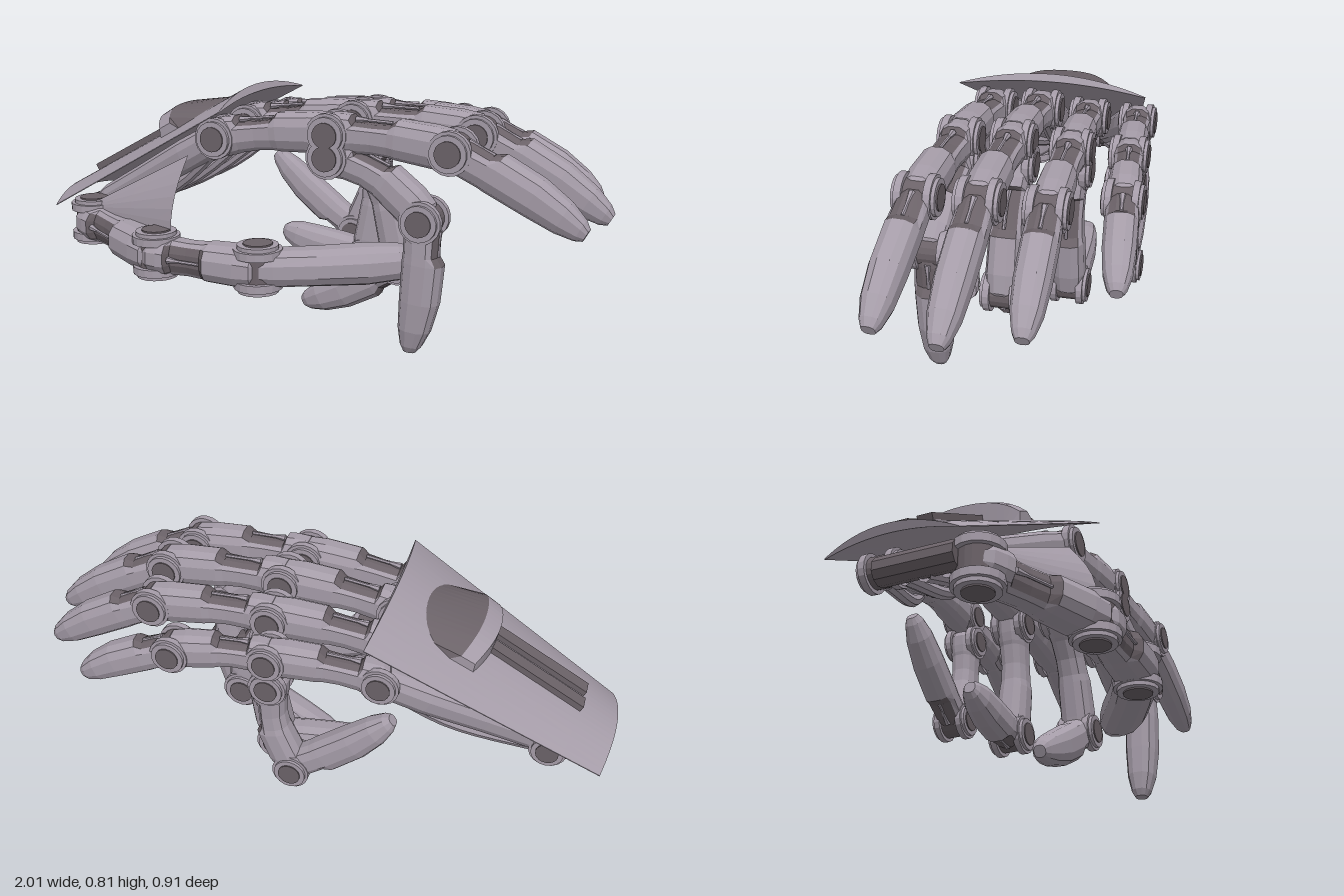
import * as THREE from 'three';

const light = new THREE.MeshStandardMaterial({ color: 0xa59ca8, flatShading: true, side: THREE.DoubleSide });
light.name = 'pale metal';
const dark = new THREE.MeshStandardMaterial({ color: 0x6b6268, flatShading: true, side: THREE.DoubleSide });
dark.name = 'dark metal';
const V = (x, y, z) => new THREE.Vector3(x, y, z);
const Z = V(0, 0, 1), DOWN = V(0, -1, 0), UP = V(0, 1, 0);

// sections: [position along, width, height, height factor of the outer side (below 1 = dark recess)]
const LINK = [[0, 0, 0, 1], [-.06, .8, .8, 1], [0, .95, 1.02, 1], [.1, 1, 1.04, 1], [.17, .95, 1, 1], [.2, .92, .95, .68],
  [.36, .88, .9, .66], [.5, .92, .94, .7], [.56, 1, 1, 1], [.85, 1.05, 1.05, 1], [1, .95, 1, 1], [1.05, .75, .7, 1], [1.05, 0, 0, 1]];
const TIP = [[0, 0, 0, 1], [-.03, .8, .8, .9], [.08, .95, .97, .85], [.25, 1, 1, .75], [.31, 1.02, 1.04, 1], [.6, 1, 1, 1],
  [.82, .86, .82, 1], [.95, .6, .55, 1], [1, .38, .32, 1], [1, 0, 0, 1]];
const THUMB_TIP = [[0, 0, 0, 1], [-.05, .75, .8, 1], [.08, .95, .97, 1], [.35, .95, 1, 1], [.65, 1, 1.05, 1],
  [.85, .9, .9, 1], [.96, .65, .6, 1], [1, .45, .4, 1], [1, 0, 0, 1]];
const BONE = [[0, 0, 0, 1], [0, .6, .6, 1], [.1, .75, .8, 1], [.4, .8, .85, 1], [.75, .95, .95, 1], [1, .85, .9, 1], [1, 0, 0, 1]];

function mesh(name, geometry, material) {
  const m = new THREE.Mesh(geometry, material);
  m.name = name;
  return m;
}

// geometry from triangle lists, pale faces first and dark faces second
function facesGeometry(pale, shaded) {
  const g = new THREE.BufferGeometry().setFromPoints([...pale, ...shaded]);
  g.addGroup(0, pale.length, 0);
  g.addGroup(pale.length, shaded.length, 1);
  g.computeVertexNormals();
  return g;
}

function rod(name, a, b, r, material, r2 = r, sides = 8) {
  const d = b.clone().sub(a);
  const m = mesh(name, new THREE.CylinderGeometry(r2, r, d.length(), sides), material);
  m.position.copy(a).lerp(b, .5);
  m.quaternion.setFromUnitVectors(UP, d.normalize());
  return m;
}

// faceted limb from a to b, bowed outward, with its recess on the outer side
function pod(name, a, b, axis, w, h, sections, bow = 0) {
  const N = 12, d = b.clone().sub(a), dir = d.clone().normalize();
  const side = axis.clone().addScaledVector(dir, -axis.dot(dir)).normalize();
  const up = side.clone().cross(dir);
  const spine = t => a.clone().addScaledVector(d, t).addScaledVector(up, bow * Math.sin(Math.PI * t));
  const point = ([t, sw, sh, top], j) => {
    const q = (j + .5) / N * Math.PI * 2, c = Math.cos(q), s = Math.sin(q);
    const cx = Math.sign(c) * Math.abs(c) ** .8, sy = Math.sign(s) * Math.abs(s) ** .8;
    return spine(t).addScaledVector(side, cx * w * sw).addScaledVector(up, sy * h * sh * (s > .4 ? top : 1));
  };
  const pale = [], shaded = [];
  for (let i = 0; i < sections.length - 1; i++) for (let j = 0; j < N; j++) {
    const s = sections[i], e = sections[i + 1];
    const recess = (s[3] < 1 || e[3] < 1) && j > 0 && j < N / 2 - 2;
    const A = point(s, j), B = point(e, j), C = point(e, j + 1), D = point(s, j + 1);
    (recess ? shaded : pale).push(A, B, C, A.clone(), C.clone(), D);
  }
  const g = new THREE.Group();
  g.name = name;
  g.add(mesh('shell', facesGeometry(pale, shaded), [light, dark]));
  const hollow = sections.filter(s => s[3] < 1);
  if (hollow.length) {
    // piston lying in the recess
    const at = t => spine(t).addScaledVector(up, h * .74);
    const t0 = Math.max(.06, hollow[0][0]), t1 = hollow[hollow.length - 1][0];
    g.add(rod('piston', at(t0), at(t1), .006, light, .006, 6), rod('pistonEnd', at(t0), at(t0 + .1), .012, light, .006, 6));
  }
  return g;
}

// hinge with a dark core, pale cheeks, stepped collars and dark caps
function hinge(p, axis, r, half) {
  const g = new THREE.Group();
  g.name = 'hinge';
  const disc = (name, from, to, radius, mat) =>
    g.add(rod(name, p.clone().addScaledVector(axis, from), p.clone().addScaledVector(axis, to), radius, mat, radius, 18));
  disc('core', -half, half, r * .8, dark);
  for (const s of [-1, 1]) {
    disc('cheek', s * half * .6, s * half, r, light);
    disc('collar', s * half * .6, s * half * 1.2, r * .85, light);
    disc('cap', s * half * .6, s * half * 1.28, r * .6, dark);
  }
  return g;
}

// hinges joined by links and finished by a tip
function digit(name, points, axis, s, bow, tip = TIP) {
  const g = new THREE.Group();
  g.name = name;
  const last = points.length - 1;
  for (let i = 0; i < last; i++) {
    const a = points[i], b = points[i + 1], isTip = i === last - 1;
    g.add(hinge(a, axis, .07 * s, .057 * s));
    g.add(pod(isTip ? 'tip' : 'link', a, b, axis, .057 * s, .066 * s, isTip ? tip : LINK, isTip ? .015 : bow));
  }
  return g;
}

// arched back plate: u runs from wrist to knuckles, v across
function platePoint(u, v, lift = 0) {
  const drop = .055 * v * v - lift;
  return V(-1 + .75 * u + .48 * drop, .4 + .412 * u - .877 * drop, -.025 + v * (.215 + .12 * u));
}

function backPlate() {
  const pale = [], N = 20, M = 6;
  const quad = (A, B, C, D) => pale.push(A, B, C, A.clone(), C.clone(), D);
  const low = (u, v) => platePoint(u, v, -.003 - .025 * (1 - v * v));
  for (let i = 0; i < N; i++) {
    const v = -1 + 2 * i / N, w = v + 2 / N;
    for (let k = 0; k < M; k++) {
      const u = k / M, t = (k + 1) / M;
      quad(platePoint(u, v), platePoint(u, w), platePoint(t, w), platePoint(t, v));
      quad(low(u, v), low(t, v), low(t, w), low(u, w));
    }
    quad(low(0, v), low(0, w), platePoint(0, w), platePoint(0, v));
    quad(low(1, v), platePoint(1, v), platePoint(1, w), low(1, w));
  }
  for (const v of [-1, 1]) {
    const s = [low(0, v), platePoint(0, v), platePoint(1, v), low(1, v)];
    quad(...(v > 0 ? s.reverse() : s));
  }
  return mesh('backPlate', facesGeometry(pale, []), [light, dark]);
}

// raised cowl: pale curved wall with a dark sloping top
function cowl() {
  const pale = [], shaded = [], N = 16;
  const row = i => {
    const s = -1 + 2 * i / N, v = s * .62 + .03, f = Math.sqrt(Math.max(0, 1 - s * s)), e = 1 - s ** 4;
    return [platePoint(.565 + .04 * s * s, v, -.004), platePoint(.59 + .03 * s * s, v, .03 + .032 * e),
      platePoint(.66 + .02 * s * s, v, .03 + .035 * e), platePoint(.71 + .17 * f, v, -.003)];
  };
  for (let i = 0; i < N; i++) {
    const a = row(i), b = row(i + 1);
    for (let k = 0; k < 3; k++)
      (k < 2 ? pale : shaded).push(a[k], b[k], b[k + 1], a[k].clone(), b[k + 1].clone(), a[k + 1]);
  }
  for (const [r, flip] of [[row(0), false], [row(N), true]]) {
    const q = flip ? r.reverse() : r;
    pale.push(q[0], q[1], q[2], q[0].clone(), q[2].clone(), q[3]);
  }
  return mesh('cowl', facesGeometry(pale, shaded), [light, dark]);
}

// curved web between plate edge and thumb
function thumbWeb() {
  const pale = [], N = 6;
  const at = (u, k) => {
    const y0 = .35, y1 = .37 + .23 * u, bulge = .03 * Math.sin(k * Math.PI) * u;
    return V(-.82 + .43 * u + .02 * k * u, y0 + (y1 - y0) * k, .19 + .17 * u - .1 * u * k + bulge);
  };
  for (let i = 0; i < N; i++) for (let j = 0; j < N; j++) {
    const A = at(i / N, j / N), B = at((i + 1) / N, j / N), C = at((i + 1) / N, (j + 1) / N), D = at(i / N, (j + 1) / N);
    pale.push(A, B, C, A.clone(), C.clone(), D);
  }
  return mesh('thumbWeb', facesGeometry(pale, []), [light, dark]);
}

export function createModel() {
  const hand = new THREE.Group();
  hand.name = 'mechanicalHand';
  hand.add(backPlate(), cowl(), thumbWeb());

  // twin bars on the plate
  for (const z of [-.055, .025]) {
    const bar = mesh('plateBar', new THREE.BoxGeometry(.37, .03, .05), dark);
    bar.position.set(-.717, .559, z);
    bar.rotation.z = Math.atan2(.412, .75);
    hand.add(bar);
  }

  // straight points, curled points, size and wrist root of each finger
  const fingers = [
    ['index', [V(-.28, .66, .19), V(.13, .705, .2), V(.54, .68, .215), V(.96, .46, .23)],
      [V(.13, .63, .2), V(.45, .45, .21), V(.41, .002, .21)], 1, V(-.84, .35, .08)],
    ['middle', [V(-.25, .68, .01), V(.15, .72, .015), V(.57, .7, .015), V(1, .46, .02)],
      [V(.15, .64, .01), V(.31, .24, .015), V(-.05, .05, .015)], 1, V(-.86, .34, .02)],
    ['ring', [V(-.26, .66, -.16), V(.13, .7, -.175), V(.54, .68, -.185), V(.93, .47, -.2)],
      [V(.13, .63, -.175), V(.12, .19, -.17), V(-.21, .25, -.17)], .97, V(-.85, .35, -.05)],
    ['little', [V(-.28, .65, -.33), V(.08, .675, -.355), V(.39, .66, -.385), V(.71, .52, -.42)],
      [V(.08, .57, -.345), V(.01, .23, -.34), V(-.32, .5, -.34)], .9, V(-.8, .38, -.14)],
  ];
  for (const [name, straight, curled, s, root] of fingers) {
    hand.add(digit(name + 'Finger', straight, Z, s, .01), digit(name + 'CurledFinger', curled, Z, s, .035));
    hand.add(pod(name + 'PalmBone', root, straight[0], Z, .062, .062, BONE));
    // tendon under each palm bone
    const path = new THREE.CatmullRomCurve3([root.clone().add(V(0, -.04, 0)),
      root.clone().lerp(straight[0], .55).add(V(.03, -.07, 0)), straight[0].clone().add(V(0, -.03, 0))]);
    hand.add(mesh('tendon', new THREE.TubeGeometry(path, 10, .022, 8), light));
  }

  // wrist
  hand.add(hinge(V(-.8, .38, -.15), Z, .062, .055));
  hand.add(rod('wristBar', V(-.86, .34, -.13), V(-.86, .34, .13), .045, dark, .045, 10));

  // thumb
  hand.add(digit('thumb', [V(-.82, .31, .17), V(-.44, .28, .368), V(-.06, .275, .368), V(.41, .285, .11)], DOWN, 1.16, .005, THUMB_TIP));
  return hand;
}
